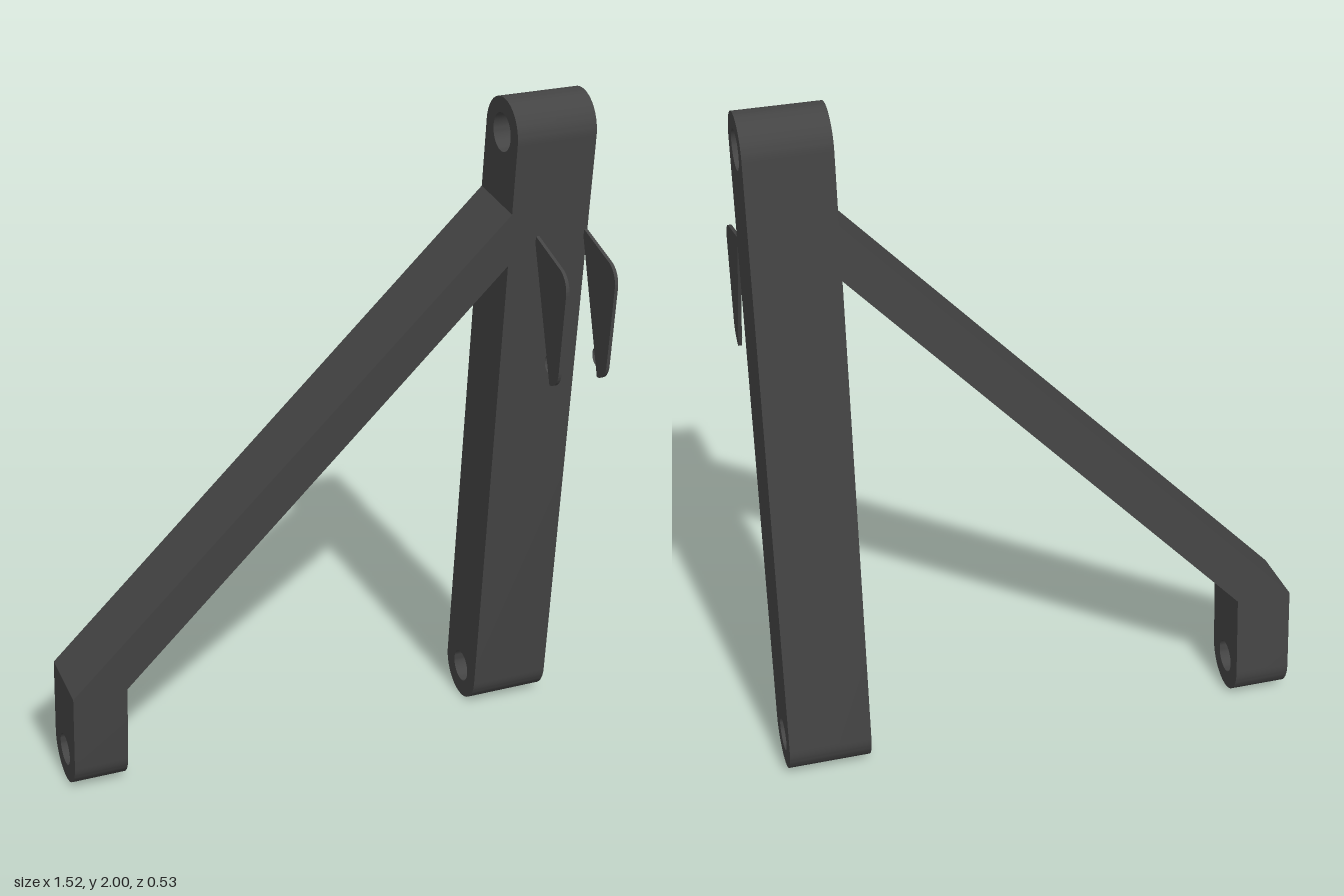
import * as THREE from 'three';
import { toCreasedNormals } from 'three/addons/utils/BufferGeometryUtils.js';

const R = 0.1;         // half depth of the bars
const LENGTH = 1.808;  // distance between the post's pivot holes
const TILT = 0.0914;   // backward lean of the whole bracket

const material = new THREE.MeshStandardMaterial({ color: 0x444444 });

function addHole(shape, x, y, r) {
  const hole = new THREE.Path();
  hole.absarc(x, y, r, 0, Math.PI * 2, true);
  shape.holes.push(hole);
}

function makeMesh(name, geometry) {
  const mesh = new THREE.Mesh(toCreasedNormals(geometry, 0.5), material);
  mesh.name = name;
  return mesh;
}

// Extrudes a side profile (z, y) across the bracket from x0 to x1
function sidePart(name, shape, x0, x1) {
  const geometry = new THREE.ExtrudeGeometry(shape, { depth: x1 - x0, bevelEnabled: false, curveSegments: 20 });
  geometry.rotateY(-Math.PI / 2).translate(x1, 0, 0);
  return makeMesh(name, geometry);
}

export function createModel() {
  const model = new THREE.Group();
  model.name = 'bracket';
  const frame = new THREE.Group();
  frame.name = 'tiltedFrame';
  frame.position.set(0, R, -0.165);
  frame.rotation.x = TILT;
  model.add(frame);

  // Main post: round-ended bar with a pivot hole at each end
  const post = new THREE.Shape();
  post.absarc(0, 0, R, Math.PI, Math.PI * 2, false);
  post.absarc(0, LENGTH, R, 0, Math.PI, false);
  post.closePath();
  addHole(post, 0, 0, 0.048);
  addHole(post, 0, LENGTH, 0.055);
  frame.add(sidePart('mainPost', post, 0.52, 0.76));

  // Foot: short bar, round at the bottom
  const foot = new THREE.Shape();
  foot.absarc(0, 0, R, Math.PI, Math.PI * 2, false);
  foot.lineTo(R, 0.25);
  foot.lineTo(-R, 0.25);
  foot.closePath();
  addHole(foot, 0, 0, 0.048);
  frame.add(sidePart('foot', foot, -0.765, -0.602));

  // Diagonal brace from the foot up to the post
  const brace = new THREE.Shape();
  brace.moveTo(-0.765, 0.25);
  brace.lineTo(-0.602, 0.25);
  brace.lineTo(0.52, 1.445);
  brace.lineTo(0.52, 1.603);
  brace.closePath();
  const braceGeometry = new THREE.ExtrudeGeometry(brace, { depth: 2 * R, bevelEnabled: false });
  frame.add(makeMesh('diagonalBrace', braceGeometry.translate(0, 0, -R)));

  // Pair of thin mounting tabs on the front of the post
  const tab = new THREE.Shape();
  const [tabZ, lowY, highY, cornerR, a] = [0.244, 1.192, 1.438, 0.06, 1.36];
  tab.moveTo(0.09, 1.092);
  tab.absarc(tabZ, lowY, cornerR, -a, 0, false);
  tab.absarc(tabZ, highY, cornerR, 0, a, false);
  tab.lineTo(0.09, 1.527);
  tab.closePath();
  addHole(tab, tabZ, lowY, 0.027);
  addHole(tab, tabZ, highY, 0.027);
  frame.add(sidePart('innerTab', tab, 0.6, 0.61));
  frame.add(sidePart('outerTab', tab, 0.75, 0.76));

  return model;
}
